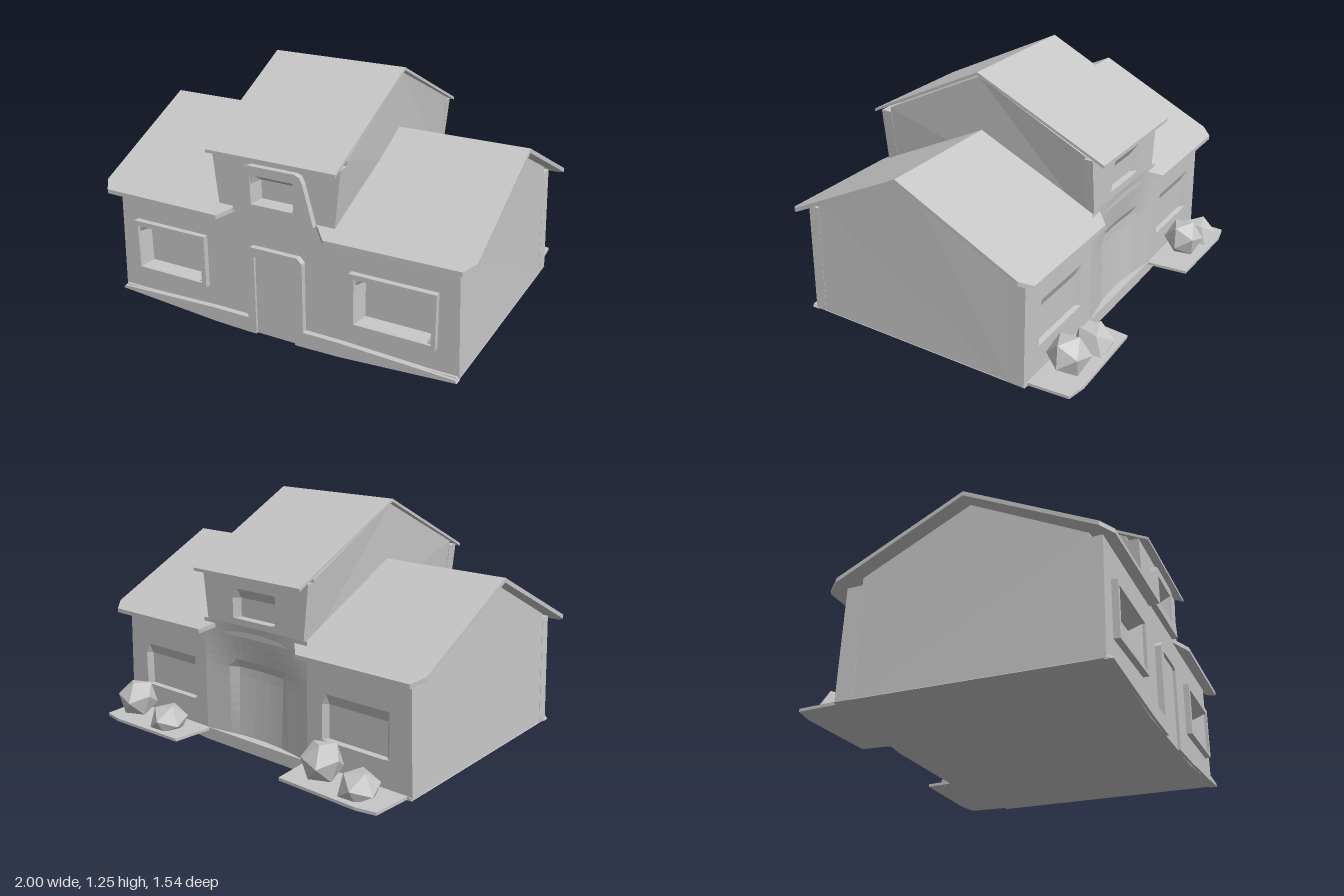
import * as THREE from 'three';

const RIDGE_Z = 0.08;

export function createModel() {
  const house = new THREE.Group();
  house.name = 'house';
  const grey = new THREE.MeshStandardMaterial({ color: 0xc6c6c6, flatShading: true });
  grey.name = 'plain grey';
  const greySheet = new THREE.MeshStandardMaterial({ color: 0xc6c6c6, flatShading: true, side: THREE.DoubleSide });
  greySheet.name = 'plain grey sheet';

  const toShape = (pts) => new THREE.Shape(pts.map(([x, y]) => new THREE.Vector2(x, y)));
  const rect = (x0, x1, y0, y1) => [[x0, y0], [x1, y0], [x1, y1], [x0, y1]];

  function add(name, geometry, parent = house, material = grey) {
    const mesh = new THREE.Mesh(geometry, material);
    mesh.name = name;
    parent.add(mesh);
    return mesh;
  }

  // Move every vertex by a rule
  function reshape(geometry, rule) {
    const p = geometry.attributes.position;
    for (let i = 0; i < p.count; i++) p.setXYZ(i, ...rule(p.getX(i), p.getY(i), p.getZ(i)));
    geometry.computeVertexNormals();
    return geometry;
  }

  // Upright slab with holes, from z0 to z1
  function slab(pts, holes, z0, z1) {
    const shape = toShape(pts);
    holes.forEach((h) => shape.holes.push(toShape(h)));
    const g = new THREE.ExtrudeGeometry(shape, { depth: z1 - z0, bevelEnabled: false });
    return g.translate(0, 0, z0);
  }

  // Side outline (z, y) run across the house; half width depends on height
  function crossPrism(pts, halfWidth) {
    const g = new THREE.ExtrudeGeometry(toShape(pts), { depth: 1, bevelEnabled: false });
    return reshape(g, (z, y, d) => [(1 - 2 * d) * halfWidth(y), y, z]);
  }

  // Flat outline (x, z) laid on a plane falling away from the ridge
  function panel(pts, height, slope, thickness) {
    const g = new THREE.ExtrudeGeometry(toShape(pts), { depth: thickness, bevelEnabled: false });
    return reshape(g, (x, z, d) => [x, height - d - slope * Math.abs(z - RIDGE_Z), z]);
  }

  // Window opening with splayed reveals and a set-back pane
  function recess(outer, inner, zFront, zBack) {
    const cols = [outer[0], inner[0], inner[1], outer[1]];
    const rows = [outer[2], inner[2], inner[3], outer[3]];
    const g = new THREE.PlaneGeometry(3, 3, 3, 3);
    return reshape(g, (x, y) => {
      const i = Math.round(x + 1.5), j = Math.round(y + 1.5);
      const rim = i % 3 === 0 || j % 3 === 0;
      return [cols[i], rows[j], rim ? zFront : zBack];
    });
  }

  const mirrorX = (pts, s) => pts.map(([x, y]) => [x * s, y]);
  const mirrorRange = ([x0, x1, y0, y1], s) => (s > 0 ? [x0, x1, y0, y1] : [-x1, -x0, y0, y1]);
  const opening = [0.425, 0.81, 0.2, 0.43];
  const dormerOpening = [-0.115, 0.115, 0.69, 0.835];

  // Foundation, tapering down to the middle
  add('foundation', slab([[-0.94, 0.05], [-0.35, 0], [0.35, 0], [0.94, 0.05], [0.93, 0.065], [-0.93, 0.065]], [], -0.545, 0.715));

  // Core of the lower storey and of the raised middle
  const bodyWidth = (y) => 0.94 - 0.035 * Math.min(y, 0.62);
  add('lowerBody', crossPrism([[-0.46, 0.05], [0.64, 0.05], [0.64, 0.645], [RIDGE_Z, 0.925], [-0.46, 0.66]], bodyWidth));
  const upperWidth = (y) => 0.31 + 0.13 * Math.min(Math.max(y - 0.66, 0), 0.27);
  add('upperBody', crossPrism([[-0.5, 0.6], [0.64, 0.6], [0.64, 0.955], [RIDGE_Z, 1.225], [-0.5, 0.945]], upperWidth));

  // Front wall
  add('frontWall', slab([[-0.94, 0.05], [0.94, 0.05], [0.92, 0.622], [-0.92, 0.622]],
    [1, -1].map((s) => rect(...mirrorRange(opening, s))), 0.64, 0.7));
  const upperOutline = [[-0.31, 0.6], [0.31, 0.6], [0.345, 0.93], [-0.345, 0.93]];
  add('upperFrontWall', slab(upperOutline, [rect(...dormerOpening)], 0.64, 0.7));

  // Front windows and low ledges
  for (const s of [1, -1]) {
    add('windowFrame', slab(rect(...mirrorRange([0.4, 0.83, 0.18, 0.455], s)), [rect(...mirrorRange(opening, s))], 0.69, 0.73));
    add('windowPane', recess(mirrorRange(opening, s), mirrorRange([0.45, 0.785, 0.215, 0.395], s), 0.715, 0.655));
    add('frontLedge', slab(mirrorX([[0.15, 0], [0.35, 0.005], [0.94, 0.045], [0.93, 0.06], [0.35, 0.08], [0.15, 0.08]], s), [], 0.69, 0.73));
  }

  // Dormer window surround
  add('dormerFrame', slab([[-0.22, 0.64], [0.22, 0.64], [0.165, 0.84], [0.15, 0.87], [0.125, 0.88], [-0.125, 0.88], [-0.15, 0.87], [-0.165, 0.84]],
    [rect(...dormerOpening)], 0.69, 0.73));
  add('dormerPane', recess(dormerOpening, [-0.1, 0.1, 0.695, 0.79], 0.725, 0.655));

  // Door and its surround
  add('doorFrame', slab([[-0.155, 0], [-0.11, 0], [-0.11, 0.415], [-0.1, 0.425], [0.1, 0.425], [0.11, 0.415], [0.11, 0], [0.155, 0],
    [0.155, 0.44], [0.13, 0.465], [-0.13, 0.465], [-0.155, 0.44]], [], 0.69, 0.73));
  add('door', slab(rect(-0.11, 0.11, 0, 0.425), [], 0.69, 0.716));

  // Back walls, built facing forward and turned round
  const back = new THREE.Group();
  back.name = 'backWalls';
  back.rotation.y = Math.PI;
  house.add(back);
  for (const s of [1, -1]) {
    add('backWall', slab(mirrorX([[0.33, 0.03], [0.94, 0.05], [0.92, 0.622], [0.33, 0.622]], s),
      [rect(...mirrorRange(opening, s))], 0.45, 0.54), back);
    add('backWindow', recess(mirrorRange(opening, s), mirrorRange([0.45, 0.785, 0.205, 0.375], s), 0.54, 0.515), back);
  }
  add('upperBackWall', slab(upperOutline, [rect(-0.14, 0.14, 0.69, 0.84)], 0.49, 0.54), back);
  add('upperBackWindow', recess([-0.14, 0.14, 0.69, 0.84], [-0.11, 0.11, 0.695, 0.79], 0.54, 0.51), back);

  // Hollowed middle of the back wall with a shallow blocked doorway
  const hollow = new THREE.PlaneGeometry(0.68, 0.66, 14, 14).translate(0, 0.33, 0);
  add('backMiddle', reshape(hollow, (x, y) => {
    const across = Math.cos((x / 0.34) * Math.PI / 2);
    const dip = 0.04 * across * Math.min(1, (0.66 - y) * 4);
    const doorway = Math.abs(x) < 0.16 && y < 0.43 ? 0.02 * (y / 0.43) : 0;
    const drop = y < 0.001 ? 0.03 * (1 - across) : 0;
    return [x, y + drop, 0.545 - dip - doorway];
  }), back, greySheet);

  // Lower roof, clipped at the corners and notched around the middle
  const frontHalf = [[0.2, RIDGE_Z], [1, RIDGE_Z], [1, 0.71], [0.955, 0.765], [0.29, 0.77], [0.22, 0.7]];
  const backHalf = [[0.2, RIDGE_Z], [1, RIDGE_Z], [1, -0.55], [0.955, -0.605], [0.32, -0.605], [0.26, -0.54]];
  for (const s of [1, -1]) {
    add('lowerRoofFront', panel(mirrorX(frontHalf, s), 0.948, 0.488, 0.022));
    add('lowerRoofBack', panel(mirrorX(backHalf, s), 0.948, 0.493, 0.022));
  }

  // Upper roof
  for (const [name, eave, slope] of [['upperRoofFront', 0.748, 0.484], ['upperRoofBack', -0.6, 0.484]]) {
    add(name, panel([[-0.36, RIDGE_Z], [0.36, RIDGE_Z], [0.345, eave], [-0.345, eave]], 1.25, slope, 0.015));
  }

  // Planting beds and faceted shrubs behind the house
  for (const s of [1, -1]) {
    const bed = mirrorX([[0.33, -0.53], [0.35, -0.76], [0.8, -0.77], [0.9, -0.75], [0.915, -0.53]], s);
    add('plantingBed', panel(bed, 0.065, 0, 0.015));
    const tallX = s > 0 ? 0.75 : 0.53, lowX = s > 0 ? 0.51 : 0.74;
    for (const [x, top, r, turn] of [[tallX, 0.265, 0.105, 0.4], [lowX, 0.19, 0.1, 1.3]]) {
      const g = new THREE.IcosahedronGeometry(1, 0).rotateX(0.55).rotateY(turn);
      const cy = top - 0.1;
      const shrub = reshape(g, (a, b, c) => [a * r, Math.max(cy + b * 0.105, 0.055), c * 0.105]);
      const mesh = add('shrub', shrub);
      mesh.position.set(s * x, 0, -0.662);
    }
  }
  return house;
}
